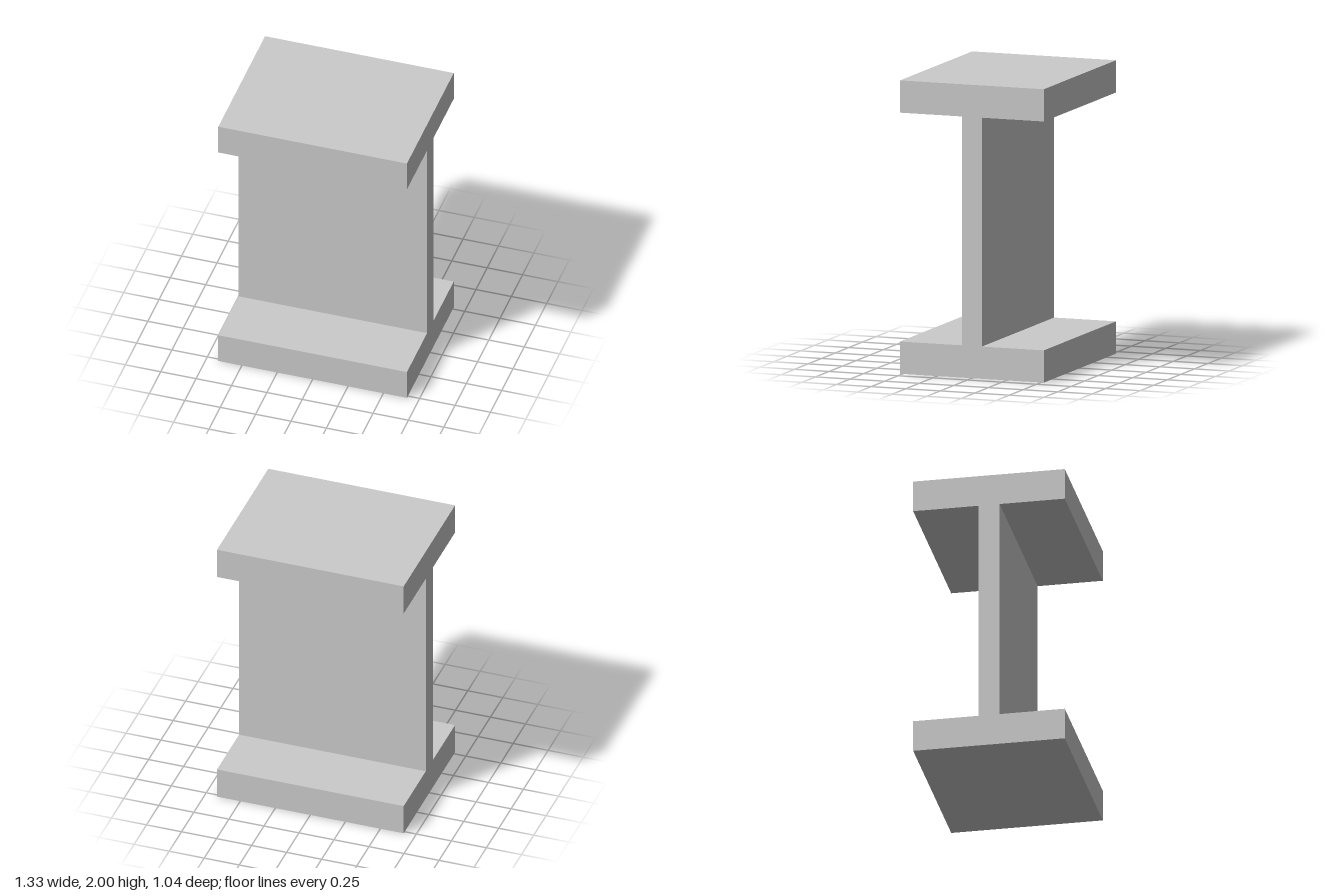
import * as THREE from 'three';

const WIDTH = 1.333; // length of the beam along x
const HEIGHT = 2;
const FLANGE = 0.52; // half depth of the flanges
const WEB = 0.073; // half thickness of the web
const THICK = 0.22; // flange thickness

export function createModel() {
  const group = new THREE.Group();
  group.name = 'iBeam';

  // I-shaped section: right half going up, then mirrored going down
  const half = [
    [FLANGE, 0], [FLANGE, THICK], [WEB, THICK],
    [WEB, HEIGHT - THICK], [FLANGE, HEIGHT - THICK], [FLANGE, HEIGHT],
  ];
  const mirrored = half.map(([x, y]) => [-x, y]).reverse();
  const section = new THREE.Shape([...half, ...mirrored].map(([x, y]) => new THREE.Vector2(x, y)));

  // Extrude the section and turn it to run along x
  const geometry = new THREE.ExtrudeGeometry(section, { depth: WIDTH, bevelEnabled: false });
  geometry.translate(0, 0, -WIDTH / 2).rotateY(Math.PI / 2);

  const beam = new THREE.Mesh(
    geometry,
    new THREE.MeshStandardMaterial({ color: 0xcccccc, flatShading: true }),
  );
  beam.name = 'beam';
  group.add(beam);
  return group;
}
